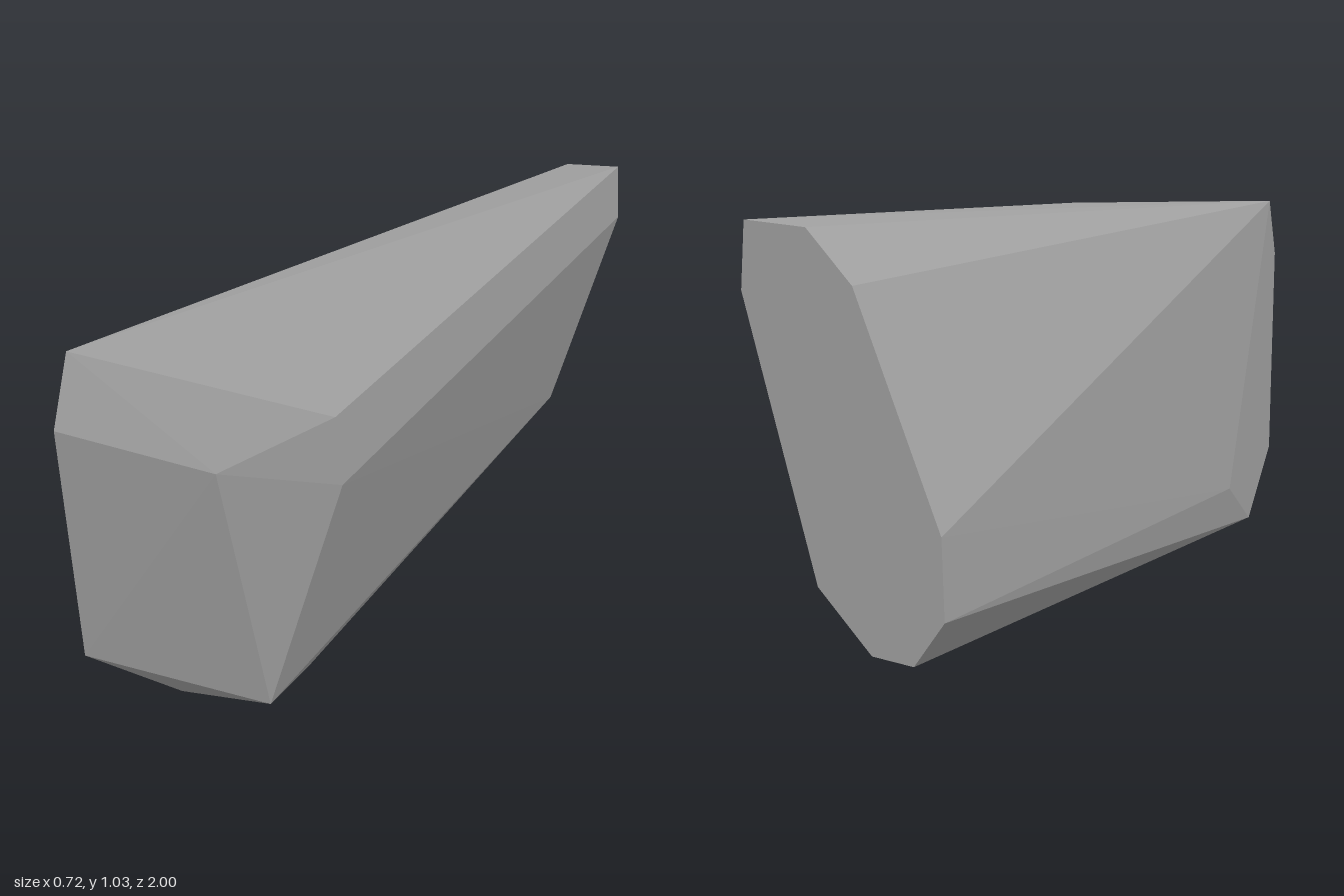
import * as THREE from 'three';
import { ConvexGeometry } from 'three/addons/geometries/ConvexGeometry.js';

const points = (rows) => rows.map(([x, y, z]) => new THREE.Vector3(x, y, z));

export function createModel() {
  const group = new THREE.Group();
  group.name = 'facetedBlock';

  const grey = new THREE.MeshStandardMaterial({ color: 0xa0a0a0, flatShading: true });
  grey.name = 'stone grey';

  // Flat nine-sided back end, all at z = -1
  const backEnd = [
    [0.345, 1.025], [0.176, 1.01], [0.054, 0.88], [-0.168, 0.32], [-0.174, 0.12],
    [-0.092, 0.005], [0.02, 0.015], [0.165, 0.165], [0.358, 0.86],
  ].map(([x, y]) => [x, y, -1]);

  // Bevelled front end: upper bevel, front face, chin
  const upperBevel = [[-0.36, 1.035, 0.925], [0.345, 1.022, 0.918], [0.36, 0.857, 0.917]];
  const frontFace = [[-0.36, 0.86, 1], [0.085, 0.857, 1], [0.162, 0.197, 0.935], [-0.36, 0.2, 0.98]];
  const chin = [
    [-0.16, 0.065, 0.85], [0.085, 0.065, 0.6], [-0.03, 0, 0.73],
    [-0.36, 0, 0.755], [-0.36, 0.14, 0.54],
  ];

  // One convex solid spans both ends
  const block = new THREE.Mesh(
    new ConvexGeometry(points([...backEnd, ...upperBevel, ...frontFace, ...chin])), grey);
  block.name = 'block';
  group.add(block);
  return group;
}
